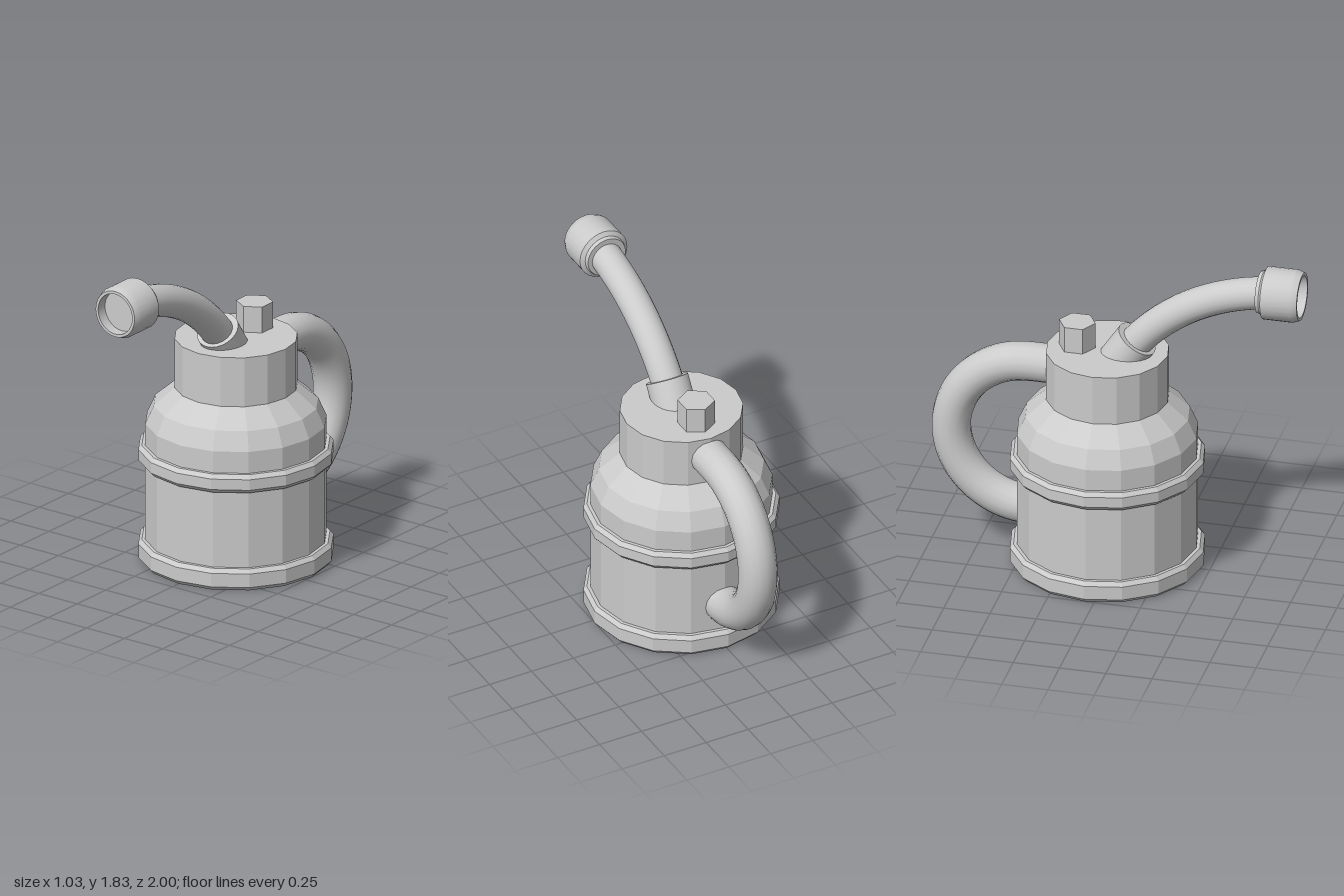
import * as THREE from 'three';
import { toCreasedNormals } from 'three/addons/utils/BufferGeometryUtils.js';

const flat = new THREE.MeshStandardMaterial({ color: 0xcccccc, flatShading: true });
const smooth = new THREE.MeshStandardMaterial({ color: 0xcccccc });
const BODY_Z = -0.052;

export function createModel() {
  const model = new THREE.Group();

  const add = (name, geometry, material, x = 0, y = 0, z = 0) => {
    const mesh = new THREE.Mesh(geometry, material);
    mesh.name = name;
    mesh.position.set(x, y, z);
    model.add(mesh);
    return mesh;
  };
  const lathe = (points, sides) =>
    new THREE.LatheGeometry(points.map(([r, y]) => new THREE.Vector2(r, y)), sides);
  const v = (y, z) => new THREE.Vector3(0, y, z);

  // Tank with a stepped shoulder and a narrow neck
  add('tank', lathe([
    [0, 0.01], [0.48, 0.01], [0.48, 0.77], [0.435, 0.87], [0.325, 0.965],
    [0.325, 1.24], [0, 1.24],
  ], 16), flat, 0, 0, BODY_Z);

  // Chamfered bands around the foot and the middle
  const band = (name, y, h) => add(name, lathe([
    [0, 0], [0.498, 0], [0.517, 0.022], [0.517, h - 0.022], [0.498, h], [0, h],
  ], 16), flat, 0, y, BODY_Z);
  band('baseBand', 0, 0.12);
  band('middleBand', 0.547, 0.103);

  // Hexagonal filler cap
  add('fillerCap', new THREE.CylinderGeometry(0.098, 0.098, 0.185, 6), flat, 0, 1.2925, -0.215);

  // Slanted collar that holds the spout
  const axis = v(0.83, 0.56).normalize();
  const collar = add('spoutCollar',
    toCreasedNormals(new THREE.CylinderGeometry(0.115, 0.115, 0.28, 24), 0.5), smooth);
  collar.position.copy(v(1.322, 0.108)).addScaledVector(axis, -0.14);
  collar.quaternion.setFromUnitVectors(new THREE.Vector3(0, 1, 0), axis);

  // Curved spout
  const spoutPath = new THREE.CubicBezierCurve3(
    v(1.29, 0.09), v(1.51, 0.26), v(1.655, 0.52), v(1.687, 0.82));
  add('spout', new THREE.TubeGeometry(spoutPath, 28, 0.087, 20), smooth);

  // Nozzle with a recessed face
  const nozzle = add('nozzle', toCreasedNormals(lathe([
    [0, 0.77], [0.112, 0.77], [0.118, 0.79], [0.141, 0.805], [0.141, 0.965],
    [0.128, 1], [0.112, 1], [0.112, 0.94], [0, 0.94],
  ], 28), 0.4), smooth, 0, 1.687, 0);
  nozzle.rotation.x = Math.PI / 2;

  // Handle: straight root at the neck, then a half circle back to the tank
  const handlePoints = [v(1.115, -0.3), v(1.115, -0.38)];
  for (let i = 0; i <= 16; i++) {
    const a = (i / 16) * Math.PI;
    handlePoints.push(v(0.69 + 0.425 * Math.cos(a), -0.47 - 0.425 * Math.sin(a)));
  }
  handlePoints.push(v(0.265, -0.4));
  add('handle', new THREE.TubeGeometry(
    new THREE.CatmullRomCurve3(handlePoints), 56, 0.104, 16), smooth);

  return model;
}
